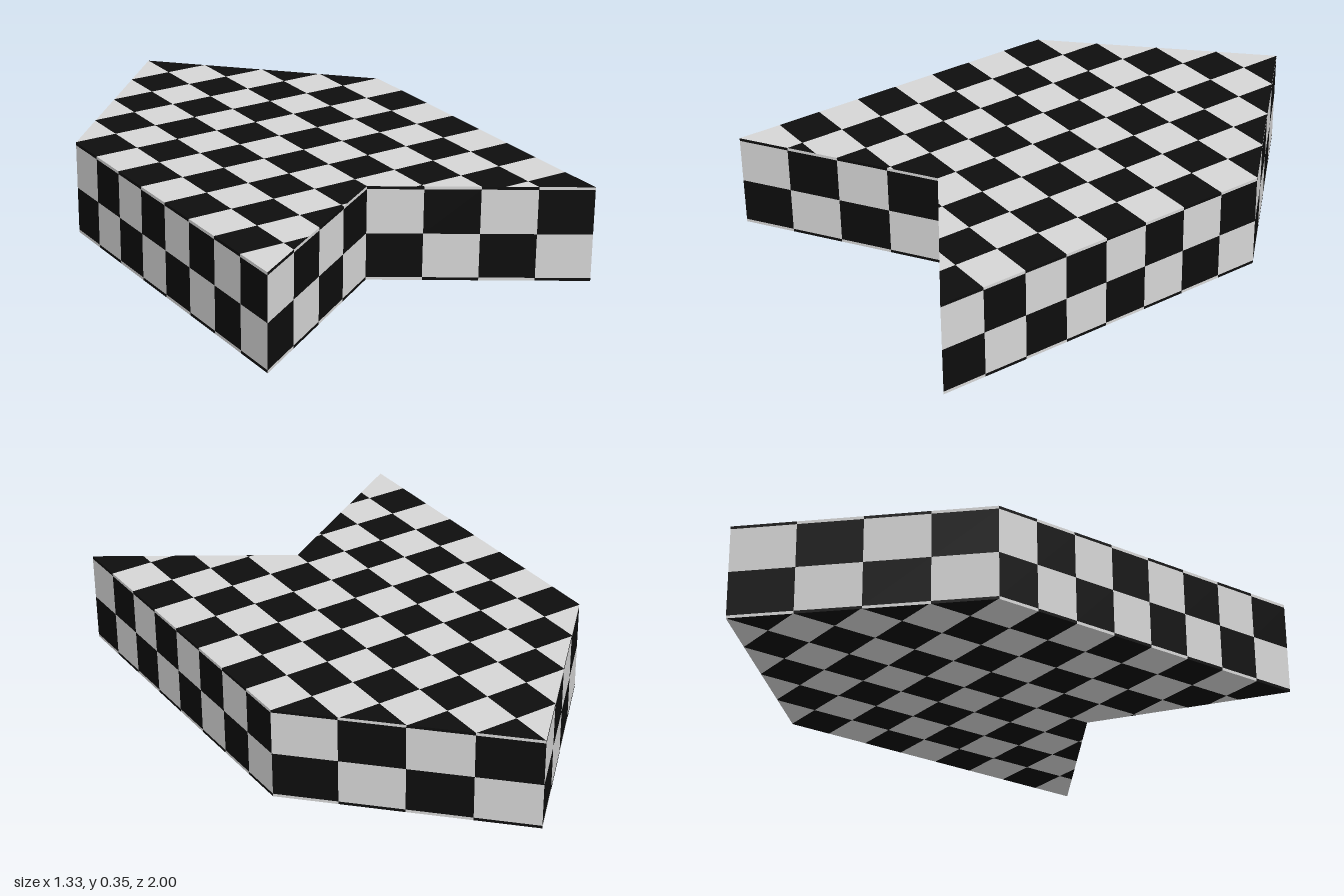
import * as THREE from 'three';

const CELL = 1 / 6;
const HEIGHT = 0.355;
const MID = HEIGHT / 2;

// Arrow outline in (x, z): point at the back, notch at the front
const OUTLINE = [[0, -1], [0.664, -0.33], [0.664, 1], [0, 0.575], [-0.664, 1], [-0.664, -0.33]];

// Keep the part of a convex polygon where sign * (p[axis] - limit) >= 0
function clip(poly, axis, sign, limit) {
  const out = [];
  poly.forEach((a, n) => {
    const b = poly[(n + 1) % poly.length];
    const da = sign * (a[axis] - limit);
    const db = sign * (b[axis] - limit);
    if (da >= 0) out.push(a);
    if ((da > 0 && db < 0) || (da < 0 && db > 0)) {
      const t = da / (da - db);
      out.push([a[0] + (b[0] - a[0]) * t, a[1] + (b[1] - a[1]) * t]);
    }
  });
  return out;
}

// Cut convex polygons into check squares; dark where (i + j) has the given parity
function checkPanel(name, polys, toPoint, normal, darkParity, materials) {
  const tris = [[], []];
  const ab = new THREE.Vector3(), ac = new THREE.Vector3();
  for (const poly of polys) {
    for (let i = -7; i < 7; i++) {
      for (let j = -7; j < 7; j++) {
        let piece = clip(poly, 0, 1, i * CELL);
        piece = clip(piece, 0, -1, (i + 1) * CELL);
        piece = clip(piece, 1, 1, j * CELL);
        piece = clip(piece, 1, -1, (j + 1) * CELL);
        if (piece.length < 3) continue;
        const pts = piece.map(([u, v]) => toPoint(u, v));
        const target = tris[Math.abs(i + j) % 2 === darkParity ? 1 : 0];
        for (let n = 1; n < pts.length - 1; n++) {
          const [a, b, c] = [pts[0], pts[n], pts[n + 1]];
          const facing = ab.subVectors(b, a).cross(ac.subVectors(c, a)).dot(normal);
          if (Math.abs(facing) < 1e-10) continue;
          for (const p of facing > 0 ? [a, b, c] : [a, c, b]) target.push(p.x, p.y, p.z);
        }
      }
    }
  }
  const geometry = new THREE.BufferGeometry();
  geometry.setAttribute('position', new THREE.Float32BufferAttribute(tris.flat(), 3));
  geometry.addGroup(0, tris[0].length / 3, 0);
  geometry.addGroup(tris[0].length / 3, tris[1].length / 3, 1);
  geometry.computeVertexNormals();
  const mesh = new THREE.Mesh(geometry, materials);
  mesh.name = name;
  return mesh;
}

export function createModel() {
  const group = new THREE.Group();
  group.name = 'checkeredArrowBlock';

  const light = new THREE.MeshStandardMaterial({ color: 0xd6d6d6 });
  light.name = 'light grey';
  const dark = new THREE.MeshStandardMaterial({ color: 0x0d0d0d });
  dark.name = 'black';
  const materials = [light, dark];

  // Top and bottom: two mirrored convex halves
  const half = OUTLINE.slice(0, 4);
  const halves = [half, half.map(([x, z]) => [-x, z])];
  const level = (y) => (x, z) => new THREE.Vector3(x, y, z);
  group.add(checkPanel('topFace', halves, level(HEIGHT), new THREE.Vector3(0, 1, 0), 0, materials));
  group.add(checkPanel('bottomFace', halves, level(0), new THREE.Vector3(0, -1, 0), 1, materials));

  // Walls: checks run along x on the angled walls and along z on the straight sides
  const names = ['backLeftWall', 'leftWall', 'frontLeftWall', 'frontRightWall', 'rightWall', 'backRightWall'];
  const parity = [0, 0, 1, 1, 1, 0];
  names.forEach((name, n) => {
    const a = OUTLINE[n];
    const b = OUTLINE[(n + 1) % OUTLINE.length];
    const axis = a[0] === b[0] ? 1 : 0;
    const rect = [[a[axis], -MID], [b[axis], -MID], [b[axis], MID], [a[axis], MID]];
    const toPoint = (u, v) => {
      const t = (u - a[axis]) / (b[axis] - a[axis]);
      return new THREE.Vector3(a[0] + (b[0] - a[0]) * t, v + MID, a[1] + (b[1] - a[1]) * t);
    };
    const outward = new THREE.Vector3(b[1] - a[1], 0, a[0] - b[0]);
    group.add(checkPanel(name, [rect], toPoint, outward, parity[n], materials));
  });

  return group;
}
